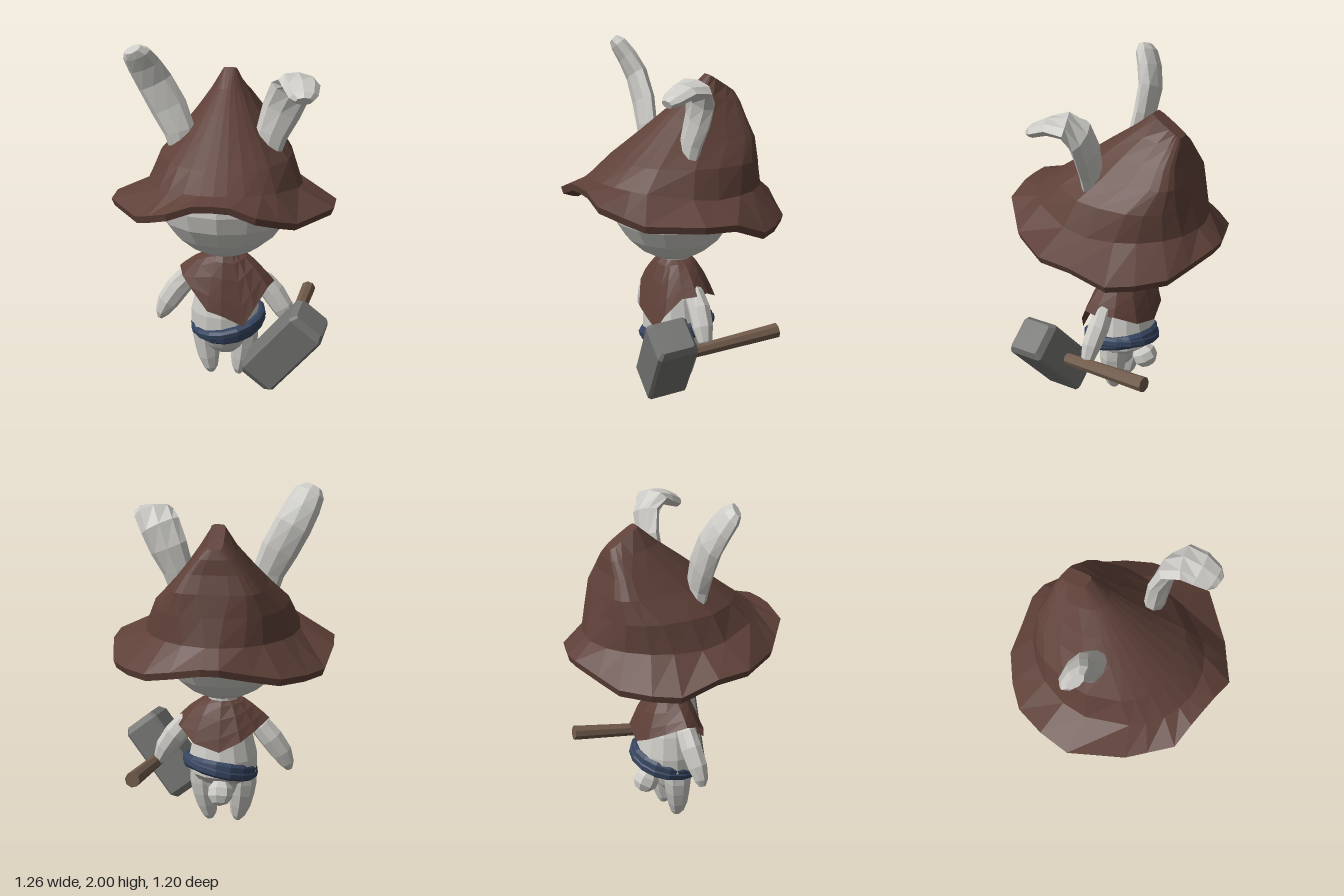
import * as THREE from 'three';

const V = (x, y, z) => new THREE.Vector3(x, y, z);
const mat = (name, color, side = THREE.FrontSide) => {
  const m = new THREE.MeshStandardMaterial({ color, side });
  m.name = name;
  return m;
};

// Faceted normals for any geometry
function flat(geo) {
  const g = geo.index ? geo.toNonIndexed() : geo;
  g.computeVertexNormals();
  return g;
}

// Skin through closed rings of points, with optional end caps
function loft(rings, capStart = true, capEnd = true) {
  const n = rings[0].length, pos = [], idx = [];
  rings.forEach(r => r.forEach(p => pos.push(p.x, p.y, p.z)));
  for (let i = 0; i < rings.length - 1; i++) {
    for (let j = 0; j < n; j++) {
      const k = (j + 1) % n, a = i * n + j, b = i * n + k;
      idx.push(a, b, b + n, a, b + n, a + n);
    }
  }
  const cap = (ring, start, flip) => {
    const c = ring.reduce((s, p) => s.add(p), V(0, 0, 0)).divideScalar(n);
    const ci = pos.length / 3;
    pos.push(c.x, c.y, c.z);
    for (let j = 0; j < n; j++) {
      const a = start + j, b = start + (j + 1) % n;
      if (flip) idx.push(ci, b, a); else idx.push(ci, a, b);
    }
  };
  if (capStart) cap(rings[0], 0, true);
  if (capEnd) cap(rings[rings.length - 1], (rings.length - 1) * n, false);
  const g = new THREE.BufferGeometry();
  g.setAttribute('position', new THREE.Float32BufferAttribute(pos, 3));
  g.setIndex(idx);
  return flat(g);
}

// Limb along a path; each station is [x, y, z, halfWidth, halfDepth]
function limb(stations, sides = 8) {
  const pts = stations.map(s => V(s[0], s[1], s[2]));
  return loft(stations.map((s, i) => {
    const t = pts[Math.min(i + 1, pts.length - 1)].clone().sub(pts[Math.max(i - 1, 0)]).normalize();
    const w = V(1, 0, 0).addScaledVector(t, -t.x).normalize();
    const d = w.clone().cross(t);
    return Array.from({ length: sides }, (_, j) => {
      const a = j / sides * Math.PI * 2;
      return pts[i].clone().addScaledVector(w, Math.sin(a) * s[3]).addScaledVector(d, Math.cos(a) * s[4]);
    });
  }));
}

function lathe(profile, sides) {
  return flat(new THREE.LatheGeometry(profile.map(p => new THREE.Vector2(p[0], p[1])), sides));
}

// Round torso, tucked in at the back below the belt
function bodyGeometry() {
  const g = lathe([[0, .145], [.08, .155], [.125, .2], [.16, .26], [.2, .33], [.2, .42], [.17, .55],
    [.12, .66], [.085, .72], [.085, .79]], 14);
  const p = g.attributes.position;
  for (let i = 0; i < p.count; i++) {
    const tuck = p.getY(i) < .3 && p.getZ(i) < 0;
    p.setZ(i, p.getZ(i) * (tuck ? .6 : .93));
  }
  return flat(g);
}

function hatGeometry() {
  // Half of the brim edge, from front to back, then mirrored
  const half = [
    [0, 1.255, .6], [.1, 1.25, .6], [.24, 1.2, .6], [.35, 1.15, .5], [.44, 1.115, .42],
    [.625, 1.12, .16], [.63, 1.11, -.03], [.59, 1.03, -.23], [.5, 1.03, -.36],
    [.37, 1.04, -.49], [.22, 1.07, -.54], [.05, 1.11, -.6]];
  const brim = half.map(p => V(...p));
  for (let i = half.length - 1; i > 0; i--) brim.push(V(-half[i][0], half[i][1], half[i][2]));
  // Crown ring: front z, y; back z, y; half width, side y, side z.
  // Exponents below 1 square off its front and back.
  const ring = ([zf, yf, zb, yb, w, ys, zs], qf = 1, qb = 1) => brim.map(p => {
    const a = Math.atan2(p.x, p.z), front = Math.cos(a) > 0, q = front ? qf : qb;
    const s = Math.sign(p.x) * Math.abs(Math.sin(a)) ** q, c = Math.abs(Math.cos(a)) ** q;
    return V(w * s, ys + ((front ? yf : yb) - ys) * c, zs + ((front ? zf : zb) - zs) * c);
  });
  return loft([
    ring([.38, 1.26, -.36, 1.2, .39, 1.2, 0]),
    brim.map(p => V(p.x * .975, p.y - .04, p.z * .985)),
    brim,
    ring([.5, 1.275, -.5, 1.2, .44, 1.2, 0]),
    ring([.37, 1.37, -.455, 1.35, .375, 1.36, -.02], 1, .75),
    ring([.2, 1.5, -.425, 1.47, .265, 1.48, -.1], 1, .45),
    ring([.07, 1.6, -.395, 1.57, .185, 1.58, -.15], 1, .4),
    ring([-.08, 1.71, -.385, 1.65, .105, 1.69, -.22], 1, .4),
    ring([-.2, 1.81, -.37, 1.7, .042, 1.76, -.28], .4, .4),
  ], false, true);
}

function capeGeometry() {
  // Ragged hem, counter-clockwise from the front
  const hem = [
    [0, .45, .205], [.13, .39, .2], [.19, .49, .17], [.26, .6, .1], [.29, .61, .02],
    [.24, .6, -.08], [.15, .54, -.18], [0, .5, -.21], [-.12, .56, -.19], [-.2, .61, -.12],
    [-.27, .66, -.02], [-.24, .63, .07], [-.19, .59, .13], [-.08, .47, .195]].map(p => V(...p));
  const rings = [1, .8, .5, .2, 0].map(t => hem.map(p => {
    const a = Math.atan2(p.x, p.z);
    return V(
      THREE.MathUtils.lerp(Math.sin(a) * .092, p.x, t),
      .77 - (.77 - p.y) * Math.pow(t, 1.5),
      THREE.MathUtils.lerp(Math.cos(a) * .092, p.z, t));
  }));
  return loft(rings, false, false);
}

// Block with bevelled edges, long axis on y
function hammerHead() {
  const outline = [[-.07, 1], [.07, 1], [1, .07], [1, -.07], [.07, -1], [-.07, -1], [-1, -.07], [-1, .07]];
  const square = outline.map(([x, z]) => [(x + z) / 1.07, (z - x) / 1.07]);
  return loft([[-.258, .8], [-.22, 1], [.22, 1], [.258, .8]].map(([y, s]) =>
    square.map(([x, z]) => V(x * .114 * s, y, z * .116 * s))));
}

export function createModel() {
  const fur = mat('pale fur', 0xcbcac5);
  const cloth = mat('brown cloth', 0x5e4038, THREE.DoubleSide);
  const blue = mat('blue belt', 0x35445f);
  const steel = mat('grey metal', 0x747472);
  const wood = mat('wood', 0x6f5a4a);

  const model = new THREE.Group();
  const add = (name, geo, material, parent = model) => {
    const m = new THREE.Mesh(geo, material);
    m.name = name;
    parent.add(m);
    return m;
  };

  // Head and body
  const head = add('head', lathe([[0, .78], [.12, .785], [.2, .825], [.29, .9], [.36, 1], [.39, 1.1],
    [.38, 1.2], [.32, 1.33], [.2, 1.41], [0, 1.44]], 14), fur);
  head.scale.z = .92;
  head.position.z = .018;
  add('body', bodyGeometry(), fur);
  const tail = add('tail', flat(new THREE.SphereGeometry(.077, 7, 5)), fur);
  tail.position.set(0, .23, -.147);
  tail.rotation.x = .5;

  // Arms and legs
  for (const [side, s] of [['left', 1], ['right', -1]]) {
    add(side + 'Arm', limb([[s * .17, .64, 0, .04, .04], [s * .22, .6, 0, .065, .055],
      [s * .28, .53, 0, .07, .062], [s * .34, .44, .01, .064, .058], [s * .375, .37, .015, .042, .042],
      [s * .388, .335, .015, .018, .02]]), fur);
    add(side + 'Leg', limb([[s * .115, .34, 0, .08, .09], [s * .113, .25, 0, .084, .083],
      [s * .108, .18, .003, .076, .075], [s * .098, .1, .01, .064, .062],
      [s * .085, .03, .015, .043, .042], [s * .08, 0, .015, .02, .022]]), fur);
  }

  // Ears: one upright, one folded forward
  add('rightEar', limb([[-.22, 1.36, .05, .075, .04], [-.25, 1.5, .05, .09, .048],
    [-.31, 1.63, .04, .105, .05], [-.385, 1.77, .045, .105, .052], [-.435, 1.87, .08, .1, .05],
    [-.468, 1.94, .118, .088, .045], [-.488, 1.97, .14, .055, .03]]), fur);
  add('leftEar', limb([[.23, 1.36, .055, .075, .04], [.265, 1.5, .045, .09, .048],
    [.315, 1.63, .035, .11, .05], [.365, 1.75, .05, .115, .052], [.41, 1.815, .11, .115, .05],
    [.435, 1.805, .19, .1, .045], [.452, 1.77, .27, .078, .038], [.455, 1.755, .3, .045, .025]]), fur);

  // Clothes
  add('hat', hatGeometry(), cloth);
  add('cape', capeGeometry(), cloth);
  const strap = (h, r) => lathe([[.17, -h], [r - .015, -h], [r, -h * .5], [r, h * .5], [r - .015, h], [.17, h]], 16);
  for (const [name, h, r, rx, rz] of [['lowerBelt', .038, .22, .25, .13], ['upperBelt', .028, .226, .12, .22]]) {
    const b = add(name, strap(h, r), blue);
    b.position.set(.018, .35, 0);
    b.rotation.set(rx, 0, rz);
  }

  // Hammer: head along local y, handle along local -z
  const hammer = new THREE.Group();
  hammer.name = 'hammer';
  const up = V(.61, .77, .17).normalize();
  const back = V(.09, .075, -.66);
  const z = back.clone().negate().addScaledVector(up, back.dot(up)).normalize();
  hammer.quaternion.setFromRotationMatrix(new THREE.Matrix4().makeBasis(up.clone().cross(z), up, z));
  hammer.position.set(.373, .315, .26);
  add('hammerHead', hammerHead(), steel, hammer);
  const handle = add('hammerHandle', flat(new THREE.CylinderGeometry(.034, .044, .66, 8, 3)), wood, hammer);
  handle.rotation.x = Math.PI / 2;
  handle.position.z = -.345;
  model.add(hammer);

  return model;
}
